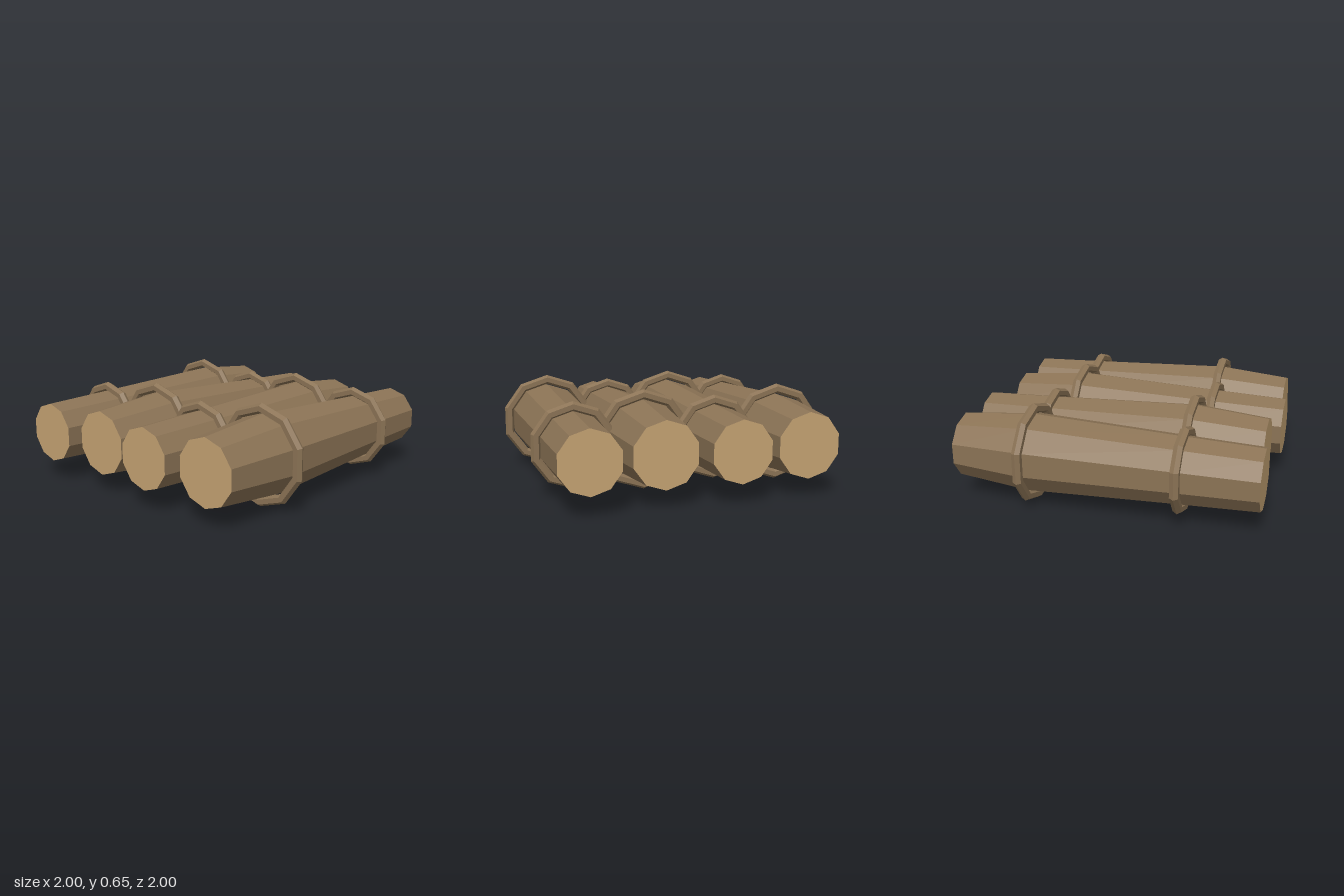
import * as THREE from 'three';

const SIDES = 10;
const TUBE = 0.032;
const CENTRE_Y = 0.324;

export function createModel() {
  const bark = new THREE.MeshStandardMaterial({ color: 0x8b7355 });
  const cutWood = new THREE.MeshStandardMaterial({ color: 0xc4a272 });
  bark.name = 'bark';
  cutWood.name = 'cutWood';
  bark.flatShading = true;

  // Trunk outline as [radius, x], thick end first
  const profile = [[0.21, -0.95], [0.255, -0.465], [0.215, 0.51], [0.197, 1]];

  function add(parent, name, geometry, material) {
    const mesh = new THREE.Mesh(geometry, material);
    mesh.name = name;
    parent.add(mesh);
    return mesh;
  }

  // Ten-sided band around the trunk, with a corner at the top
  function band(log, name, x, outer) {
    const geo = new THREE.TorusGeometry(outer - TUBE, TUBE, 6, SIDES);
    geo.rotateZ(Math.PI / 2).rotateY(Math.PI / 2);
    add(log, name, geo, bark).position.x = x;
  }

  // Flat cut face closing one end; dir is the way it faces along x
  function cutEnd(log, name, [radius, x], dir) {
    const geo = new THREE.CircleGeometry(radius, SIDES, Math.PI / 2);
    geo.rotateY(dir * Math.PI / 2);
    add(log, name, geo, cutWood).position.x = x;
  }

  function makeLog() {
    const log = new THREE.Group();
    const points = profile.map(([r, x]) => new THREE.Vector2(r, x));
    const trunk = new THREE.LatheGeometry(points, SIDES, Math.PI / 2);
    trunk.rotateZ(-Math.PI / 2);
    add(log, 'trunk', trunk, bark);
    cutEnd(log, 'thickCutEnd', profile[0], -1);
    cutEnd(log, 'thinCutEnd', profile[3], 1);
    band(log, 'thickBand', -0.465, 0.324);
    band(log, 'thinBand', 0.51, 0.276);
    return log;
  }

  // Four logs side by side, every second one turned end for end
  const raft = new THREE.Group();
  raft.name = 'logRaft';
  [0.693, 0.231, -0.231, -0.693].forEach((z, i) => {
    const log = makeLog();
    log.name = `log${i + 1}`;
    log.position.set(0, CENTRE_Y, z);
    log.rotation.y = i % 2 ? Math.PI : 0;
    raft.add(log);
  });
  return raft;
}
